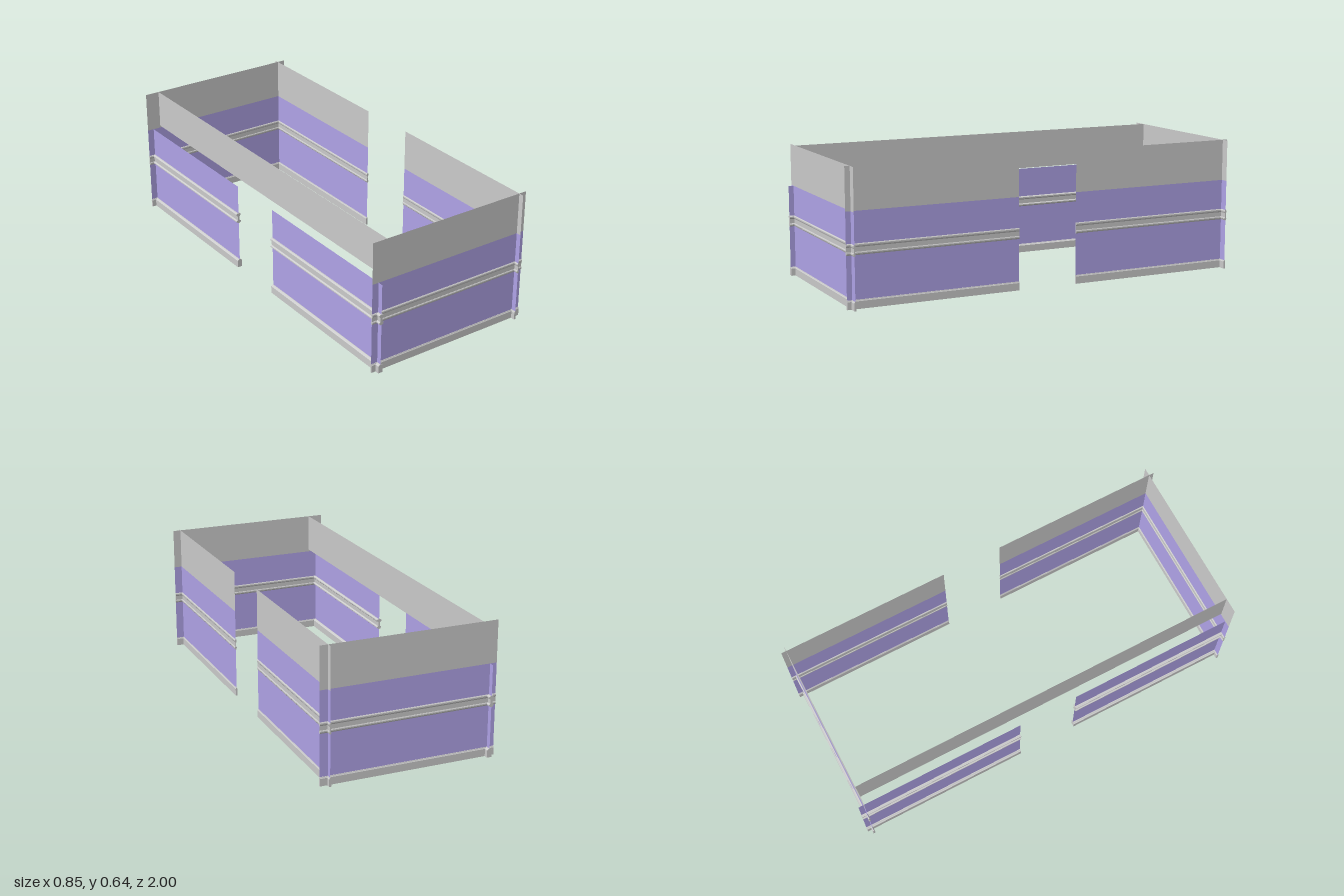
import * as THREE from 'three';

const grey = new THREE.MeshStandardMaterial({ color: 0xcccccc, side: THREE.DoubleSide, flatShading: true });
const purple = new THREE.MeshStandardMaterial({ color: 0xb0a3e8, side: THREE.DoubleSide, flatShading: true });

const LENGTH = 0.85;
const PAINT_TOP = 0.44;
const TOP = 0.64;

// Half profiles as [depth factor, height]; mirrored onto both faces of a wall
const SKIRTING = [[1, 0], [1, 0.035], [0.6, 0.038], [0.3, 0.042]];
const LOWER_RAIL = [[0.4, 0.243], [0.7, 0.247], [1, 0.249], [1, 0.254], [0.5, 0.258]];
const RAIL_BAND = [[0.4, 0.258], [0.4, 0.279]];
const UPPER_RAIL = [[0.5, 0.279], [0.8, 0.283], [1, 0.285], [1, 0.291], [0.4, 0.295]];

// Thin upright sheet running along z
function sheet(name, length, y0, y1, material) {
  const geometry = new THREE.PlaneGeometry(length, y1 - y0).rotateY(Math.PI / 2);
  const mesh = new THREE.Mesh(geometry, material);
  mesh.position.y = (y0 + y1) / 2;
  mesh.name = name;
  return mesh;
}

// Moulding running along z, symmetrical about the wall
function moulding(name, half, depth) {
  const right = half.map(([d, y]) => new THREE.Vector2(d * depth, y));
  const left = half.map(([d, y]) => new THREE.Vector2(-d * depth, y)).reverse();
  const geometry = new THREE.ExtrudeGeometry(new THREE.Shape([...right, ...left]), { depth: LENGTH, bevelEnabled: false });
  geometry.translate(0, 0, -LENGTH / 2);
  const mesh = new THREE.Mesh(geometry, grey);
  mesh.name = name;
  return mesh;
}

// Wall section: painted panel, skirting, double chair rail and optional upper panel
function wall(name, depth, hasUpper) {
  const group = new THREE.Group();
  group.name = name;
  group.add(
    sheet('paintedPanel', LENGTH, 0, PAINT_TOP, purple),
    moulding('skirting', SKIRTING, depth),
    moulding('lowerChairRail', LOWER_RAIL, depth),
    moulding('chairRailBand', RAIL_BAND, depth),
    moulding('upperChairRail', UPPER_RAIL, depth)
  );
  if (hasUpper) group.add(sheet('upperPanel', LENGTH, PAINT_TOP, TOP, grey));
  return group;
}

export function createModel() {
  const model = new THREE.Group();
  model.name = 'roomWalls';

  for (const s of [1, -1]) {
    const end = s > 0 ? 'front' : 'back';

    // End wall, crossing the side walls at the corners
    const endWall = wall(end + 'Wall', 0.005, true);
    endWall.rotation.y = Math.PI / 2;
    endWall.position.z = s * 0.975;
    model.add(endWall);

    // Side walls, leaving an opening in the middle
    const leftWall = wall(end + 'LeftWall', 0.005, true);
    leftWall.position.set(0.386, 0, s * 0.575);
    const rightWall = wall(end + 'RightWall', 0.012, false);
    rightWall.position.set(-0.392, 0, s * 0.575);
    model.add(leftWall, rightWall);
  }

  // Continuous upper strip, set inside the right walls
  const header = sheet('rightHeader', 1.95, 0.45, TOP, grey);
  header.position.x = -0.352;
  model.add(header);

  return model;
}
